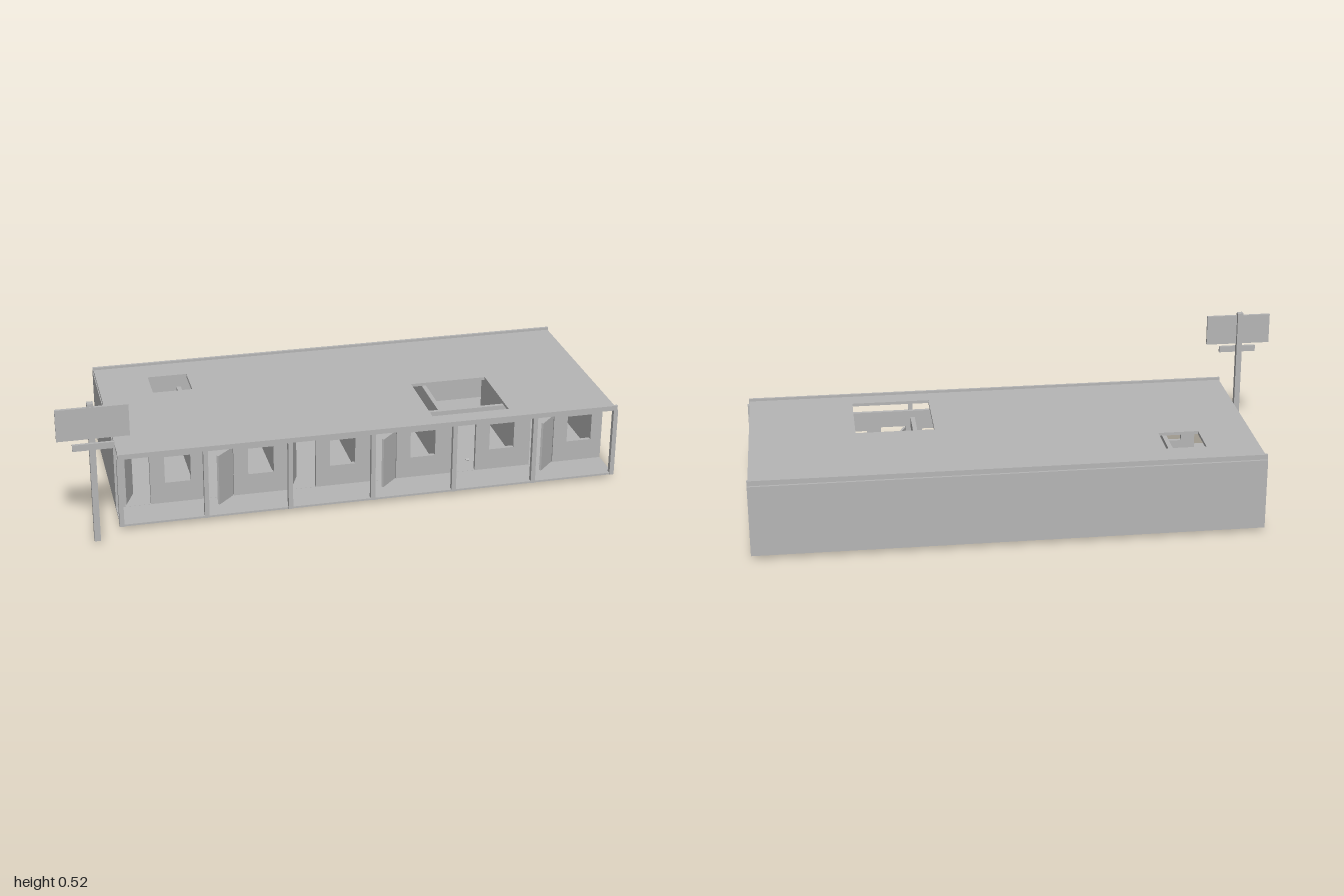
import * as THREE from 'three';

export function createModel() {
  const model = new THREE.Group();
  const grey = new THREE.MeshStandardMaterial({ color: 0xb6b6b6 });
  grey.name = 'concrete grey';

  const add = (name, geometry, parent = model) => {
    const mesh = new THREE.Mesh(geometry, grey);
    mesh.name = name;
    parent.add(mesh);
    return mesh;
  };
  // Box given by its low and high limits on each axis
  const box = (name, x0, x1, y0, y1, z0, z1) => {
    const mesh = add(name, new THREE.BoxGeometry(x1 - x0, y1 - y0, z1 - z0));
    mesh.position.set((x0 + x1) / 2, (y0 + y1) / 2, (z0 + z1) / 2);
    return mesh;
  };
  // Flat slab outline with rectangular holes, each [u0, u1, v0, v1]
  const rect = (path, [u0, u1, v0, v1]) => {
    path.moveTo(u0, v0);
    path.lineTo(u1, v0);
    path.lineTo(u1, v1);
    path.lineTo(u0, v1);
    path.closePath();
    return path;
  };
  const slab = (outline, holes, depth) => {
    const shape = rect(new THREE.Shape(), outline);
    shape.holes = holes.map((h) => rect(new THREE.Path(), h));
    return new THREE.ExtrudeGeometry(shape, { depth, bevelEnabled: false });
  };

  const left = -0.795, right = 0.993, pitch = 0.296, bays = 6;
  const bayStart = (i) => -0.79 + i * pitch;

  // Floor and outer walls; the right wall is low with a gap above
  box('floor', left, right, 0.015, 0.022, -0.41, 0.333);
  box('backWall', left, right, 0.015, 0.272, -0.423, -0.404);
  box('leftWall', left, left + 0.015, 0.022, 0.272, -0.404, 0.2);
  box('rightWall', right - 0.015, right, 0.015, 0.2, -0.404, 0.194);

  // Front wall with a doorway and a window in each bay
  const openings = [];
  for (let i = 0; i < bays; i++) {
    const b = bayStart(i);
    openings.push([b + 0.028, b + 0.118, 0.0225, 0.212], [b + 0.17, b + 0.262, 0.1, 0.2]);
  }
  add('frontWall', slab([left, right, 0.018, 0.272], openings, 0.014)).position.z = 0.19;

  // Roof with two broken openings, laid flat (v runs towards the back)
  const roof = add('roof', slab([left + 0.003, right - 0.003, -0.335, 0.412],
    [[-0.604, -0.46, 0.16, 0.3], [0.33, 0.612, -0.26, 0.024]], 0.011));
  roof.rotation.x = -Math.PI / 2;
  roof.position.y = 0.272;
  box('frontRoofTrim', left, right, 0.274, 0.292, 0.331, 0.34);
  box('backRoofTrim', left, right, 0.274, 0.292, -0.419, -0.409);

  // Porch posts and room partitions
  for (let i = 0; i <= bays; i++) {
    const x = bayStart(i) + (i === bays ? 0.004 : 0);
    box('porchPost', x - 0.008, x + 0.008, 0.015, 0.272, 0.317, 0.335);
    if (i > 0 && i < bays) box('partition', x - 0.008, x + 0.008, 0.022, 0.247, -0.273, 0.19);
  }

  // Doors: odd bays swing inwards from the left, even bays outwards from the right
  for (let i = 0; i < bays; i++) {
    const inward = i % 2 === 0;
    const hinge = new THREE.Group();
    hinge.name = 'door';
    hinge.position.set(bayStart(i) + (inward ? 0.03 : 0.114), 0.117, inward ? 0.188 : 0.198);
    hinge.rotation.y = inward ? 1.17 : Math.PI / 4;
    add('doorLeaf', new THREE.BoxGeometry(0.086, 0.189, 0.008), hinge)
      .position.x = inward ? 0.043 : -0.043;
    model.add(hinge);
  }
  box('doorPlate', 0.758, 0.784, 0.226, 0.241, 0.204, 0.209);

  // Fallen scraps on the floor below the large roof opening
  const scraps = [[0.45, 0.16, 0.025, 0.4], [0.49, 0.155, 0.02, -0.3], [0.51, 0.11, 0.03, 0.9],
    [0.54, 0.13, 0.05, -0.15], [0.48, 0.205, 0.06, -0.35]];
  for (const [x, z, length, turn] of scraps) {
    const scrap = add('scrap', new THREE.BoxGeometry(length, 0.004, 0.008));
    scrap.position.set(x, 0.0135, z);
    scrap.rotation.y = turn;
  }
  const splinter = add('splinter', new THREE.BoxGeometry(0.012, 0.026, 0.008));
  splinter.position.set(0.51, 0.0145, 0.115);
  splinter.rotation.x = 0.5;

  // Roadside sign
  box('signPole', -0.893, -0.872, 0.015, 0.525, 0.393, 0.416);
  box('signBoard', -1, -0.757, 0.4, 0.513, 0.407, 0.4175);
  box('smallSign', -0.95, -0.81, 0.363, 0.386, 0.416, 0.426);

  return model;
}
